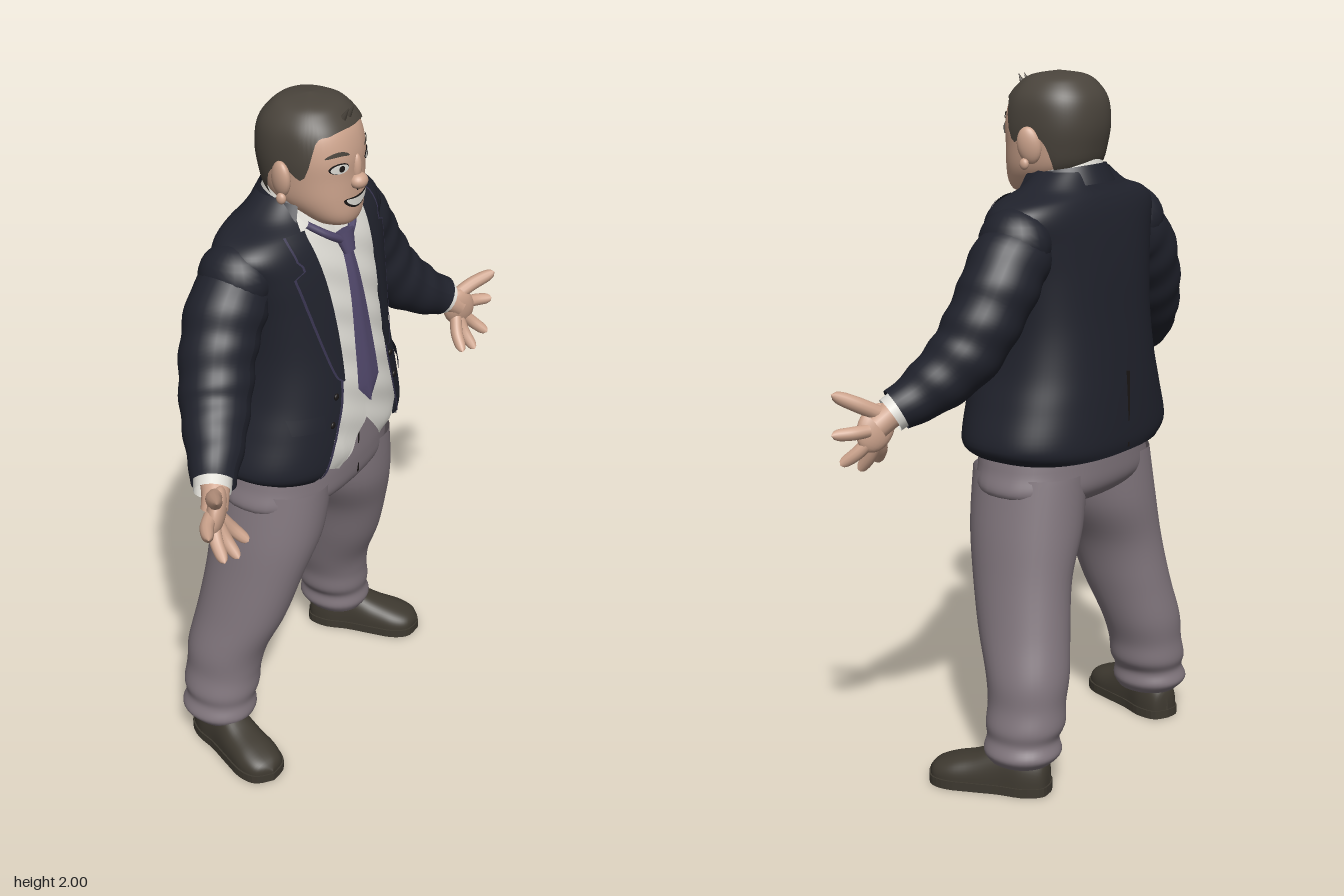
import * as THREE from 'three';
import { mergeVertices } from 'three/addons/utils/BufferGeometryUtils.js';

const mat = (name, color) => Object.assign(new THREE.MeshStandardMaterial({ color, side: THREE.DoubleSide }), { name });

// Surface from a rule f(u, v) -> [x, y, z], with smooth normals
function grid(f, nu, nv) {
  const pos = [], idx = [], w = nu + 1;
  for (let j = 0; j <= nv; j++) for (let i = 0; i <= nu; i++) pos.push(...f(i / nu, j / nv));
  for (let j = 0; j < nv; j++) for (let i = 0; i < nu; i++) {
    const a = j * w + i;
    idx.push(a, a + 1, a + w + 1, a, a + w + 1, a + w);
  }
  let g = new THREE.BufferGeometry();
  g.setAttribute('position', new THREE.Float32BufferAttribute(pos, 3));
  g.setIndex(idx);
  g = mergeVertices(g, 1e-5);
  g.computeVertexNormals();
  return g;
}

// Smooth interpolation between the rows of a profile table
function at(rows, v) {
  const f = Math.min(Math.max(v, 0), 1) * (rows.length - 1), i = Math.min(Math.floor(f), rows.length - 2), k = f - i;
  const p = rows[i - 1] || rows[i], q = rows[i + 2] || rows[i + 1];
  return rows[i].map((b, c) => {
    const d = rows[i + 1][c], m = (d - p[c]) / 2, n = (q[c] - b) / 2;
    return b + k * m + k * k * (3 * (d - b) - 2 * m - n) + k * k * k * (2 * (b - d) + m + n);
  });
}
function atY(rows, y) {
  let lo = 0, hi = 1;
  for (let i = 0; i < 24; i++) { const m = (lo + hi) / 2; if (at(rows, m)[0] < y) lo = m; else hi = m; }
  return at(rows, lo);
}

// Rows are [y, centre x, half width, front z, back z]; t = 0 is the front
const pw = (a, e) => Math.sign(a) * Math.abs(a) ** e;
function ring([y, cx, rx, zf, zb], t, e, s = 1, grow = 1) {
  return [cx * s + rx * grow * pw(Math.sin(t), e), y, (zf + zb) / 2 + (zf - zb) / 2 * grow * pw(Math.cos(t), e)];
}
const loft = (rows, e = 1, s = 1, nu = 40, nv = 40) => grid((u, v) => ring(at(rows, v), u * Math.PI * 2, e, s), nu, nv);
function frontZ(rows, x, y, e) {
  const [, , rx, zf, zb] = atY(rows, y), k = Math.min(Math.abs(x) / rx, 1);
  return (zf + zb) / 2 + (zf - zb) / 2 * (1 - k ** (2 / e)) ** (e / 2);
}

// Limb along [x, y, z, radius] points, with optional folds and rounded end
function limb(pts, s, { sides = 20, segs = 30, fold = 0, round = false } = {}) {
  const curve = new THREE.CatmullRomCurve3(pts.map(p => new THREE.Vector3(p[0] * s, p[1], p[2])));
  const g = new THREE.TubeGeometry(curve, segs, 1, sides), P = g.attributes.position, v = new THREE.Vector3();
  for (let i = 0; i < P.count; i++) {
    const j = Math.floor(i / (sides + 1)), u = j / segs, c = curve.getPointAt(u);
    let r = at(pts, u)[3] * (1 + fold * Math.sin(u * 38 + (i % (sides + 1)) * Math.PI * 2 / sides));
    if (round && u > 0.75) r *= Math.sqrt(Math.max(0, 1 - ((u - 0.75) / 0.25) ** 2));
    v.fromBufferAttribute(P, i).sub(c).multiplyScalar(r).add(c);
    P.setXYZ(i, v.x, v.y, v.z);
  }
  if (fold) g.computeVertexNormals();
  return g;
}

const HEAD = [[1.655, 0, 0.03, 0.125, 0.04], [1.668, 0, 0.065, 0.142, 0], [1.695, 0, 0.092, 0.15, -0.04],
  [1.74, 0, 0.117, 0.15, -0.105], [1.80, 0, 0.127, 0.148, -0.126], [1.86, 0, 0.131, 0.148, -0.134],
  [1.92, 0, 0.124, 0.132, -0.126], [1.96, 0, 0.1, 0.102, -0.1], [1.982, 0, 0.066, 0.068, -0.068], [1.992, 0, 0, 0, 0]];
const COAT = [[0.948, 0, 0.31, 0.192, -0.24], [0.99, 0, 0.35, 0.2, -0.246], [1.1, 0, 0.318, 0.2, -0.242],
  [1.2, 0, 0.288, 0.193, -0.235], [1.32, 0, 0.272, 0.175, -0.225], [1.45, 0, 0.278, 0.153, -0.214],
  [1.55, 0, 0.3, 0.128, -0.2], [1.62, 0, 0.32, 0.1, -0.185], [1.66, 0, 0.285, 0.075, -0.17],
  [1.69, 0, 0.19, 0.05, -0.152], [1.735, 0, 0.12, 0.03, -0.13]];
const OPENING = [0.215, 0.19, 0.15, 0.122, 0.115, 0.122, 0.132, 0.14, 0.14, 0.12, 0.1];
const HIPS = [[0.785, 0, 0.001, -0.02, -0.03], [0.795, 0, 0.14, 0.07, -0.13], [0.84, 0, 0.305, 0.15, -0.19],
  [0.92, 0, 0.3, 0.168, -0.2], [1.06, 0, 0.265, 0.16, -0.19]];
const LEG = [[0.09, 0.33, 0.085, -0.015, -0.2], [0.12, 0.33, 0.105, 0, -0.225], [0.16, 0.325, 0.096, -0.005, -0.215],
  [0.2, 0.315, 0.108, 0.002, -0.226], [0.26, 0.305, 0.104, 0.004, -0.222], [0.34, 0.29, 0.113, 0.02, -0.222],
  [0.46, 0.262, 0.115, 0.07, -0.205], [0.6, 0.232, 0.12, 0.11, -0.19], [0.74, 0.188, 0.143, 0.145, -0.19], [0.9, 0.16, 0.14, 0.155, -0.185]];
const SHOE = [[-0.168, 0.002, 0.05], [-0.155, 0.042, 0.1], [-0.1, 0.062, 0.132], [-0.03, 0.06, 0.135],
  [0.05, 0.066, 0.1], [0.12, 0.069, 0.08], [0.17, 0.05, 0.06], [0.192, 0.002, 0.035]];
const HAIRLINE = [6.3, 6.3, 6.15, 5.9, 4.2, 4.6, 4.2, 2.9, 2.6, 2.6, 2.6];
const ARM = [[0.21, 1.56, -0.05, 0.095], [0.3, 1.51, -0.055, 0.108], [0.375, 1.4, -0.045, 0.104],
  [0.445, 1.28, -0.01, 0.098], [0.53, 1.195, 0.045, 0.082], [0.606, 1.146, 0.092, 0.06]];
const FINGERS = [[0.742, 1.2, 0.2], [0.762, 1.095, 0.185], [0.715, 1.0, 0.2], [0.645, 0.97, 0.195], [0.585, 0.985, 0.185]];

export function createModel() {
  const skin = mat('skin', 0xcda48d), hair = mat('hair', 0x4a443c), navy = mat('jacket navy', 0x20222c),
    grey = mat('trouser grey', 0x81767d), leather = mat('shoe leather', 0x3e3930), white = mat('shirt white', 0xdedcd5),
    purple = mat('tie purple', 0x51486b), trim = mat('lapel trim', 0x38344f), dark = mat('dark detail', 0x1b1716);
  const body = new THREE.Group();
  body.name = 'figure';
  const add = (name, geo, m, x = 0, y = 0, z = 0, scale = [1, 1, 1]) => {
    const mesh = new THREE.Mesh(geo, m);
    mesh.name = name;
    mesh.position.set(x, y, z);
    mesh.scale.set(...scale);
    body.add(mesh);
    return mesh;
  };
  const ball = new THREE.SphereGeometry(1, 24, 16);

  // Head and hair
  add('head', loft(HEAD, 0.88, 1, 48, 48), skin);
  add('hair', grid((u, v) => {
    const t = u * Math.PI * 2, k = Math.min(t, Math.PI * 2 - t) / Math.PI;
    const v0 = at(HAIRLINE.map(h => [h / 9]), k)[0];
    const p = ring(at(HEAD, v0 + (1 - v0) * v), t, 0.88, 1, 1.06);
    return [p[0], p[1] + 0.008 * v, p[2]];
  }, 72, 28), hair);
  for (const x of [-0.012, 0.014]) add('hairTuft', new THREE.ConeGeometry(0.012, 0.05, 8), hair, x, 1.965, 0.117).rotation.x = 0.5;
  add('neck', new THREE.CylinderGeometry(0.085, 0.095, 0.18, 28), skin, 0, 1.66, -0.012);
  add('nose', ball, skin, 0, 1.785, 0.153, [0.028, 0.022, 0.025]);
  add('noseBridge', ball, skin, 0, 1.82, 0.146, [0.015, 0.04, 0.014]);

  // Painted patches lying on the face
  const decal = (name, cx, cy, rx, ry, m, lift, bend = 0) => add(name, grid((u, v) => {
    const a = u * Math.PI * 2, dx = rx * (1 - v) * Math.cos(a);
    const x = cx + dx, y = cy + ry * (1 - v) * Math.sin(a) + bend * (dx / rx) ** 2;
    return [x, y, frontZ(HEAD, x, y, 0.88) + lift];
  }, 24, 5), m);
  decal('mouth', 0, 1.728, 0.055, 0.016, dark, 0.003, 0.014);
  decal('teeth', 0, 1.729, 0.049, 0.011, white, 0.005, 0.014);
  for (const s of [1, -1]) {
    decal('eyeRim', s * 0.066, 1.838, 0.027, 0.015, dark, 0.002);
    decal('eyeWhite', s * 0.066, 1.837, 0.024, 0.013, white, 0.004);
    decal('iris', s * 0.064, 1.838, 0.008, 0.009, dark, 0.006);
    decal('eyebrow', s * 0.068, 1.878, 0.032, 0.006, hair, 0.004, -0.008);
    decal('nostril', s * 0.014, 1.768, 0.006, 0.003, dark, 0.012);
    add('ear', ball, skin, s * 0.138, 1.805, 0.0, [0.02, 0.052, 0.034]).rotation.set(0.15, s * 0.35, -s * 0.15);
    add('earHollow', ball, skin, s * 0.15, 1.755, 0.008, [0.011, 0.016, 0.014]);
  }

  // Shirt front with a split, pointed hem, and its collar
  const openAt = v => at(OPENING.map(o => [o]), v)[0];
  const openY = y => { let v = 0; while (v < 1 && at(COAT, v)[0] < y) v += 0.005; return openAt(v); };
  const hem = x => Math.abs(x) < 0.11 ? 1.065 - 1.12 * Math.abs(x) : 0.942 + 0.5 * (Math.abs(x) - 0.11);
  add('shirtFront', grid((u, v) => {
    const y0 = 0.95 + 0.74 * v, x = (u * 2 - 1) * (openY(y0) + 0.03), y = hem(x) + (1.69 - hem(x)) * v;
    return [x, y, frontZ(COAT, x, y, 0.8) - 0.012 + 0.003 * Math.sin(x * 30 + y * 55)];
  }, 48, 50), white);
  add('shirtCollar', grid((u, v) => {
    const t = 0.3 + u * (Math.PI * 2 - 0.6), c = Math.cos(t), flare = 1.12 - 0.17 * v;
    return [0.108 * flare * Math.sin(t), 1.678 - 0.042 * c + 0.058 * v - 0.03 * (1 - v) * Math.max(0, c) ** 3, -0.012 + 0.113 * flare * c];
  }, 48, 4), white);

  // Tie
  const TIE = [[1.125, 0.002], [1.185, 0.054], [1.3, 0.045], [1.45, 0.032], [1.585, 0.022]];
  add('tieBlade', grid((u, v) => {
    const f = v * 4, i = Math.min(Math.floor(f), 3), k = f - i;
    const y = TIE[i][0] + k * (TIE[i + 1][0] - TIE[i][0]), x = (u * 2 - 1) * (TIE[i][1] + k * (TIE[i + 1][1] - TIE[i][1]));
    return [x, y, frontZ(COAT, x, y, 0.8) + 0.008 - 0.006 * Math.abs(u * 2 - 1)];
  }, 8, 32), purple);
  const knot = add('tieKnot', new THREE.CylinderGeometry(0.038, 0.022, 0.06, 16), purple, 0, 1.598, 0.118, [1, 1, 0.6]);
  knot.rotation.x = -0.35;

  // Jacket body, open at the front
  add('jacketBody', grid((u, v) => {
    const r = at(COAT, v), t0 = Math.asin(Math.min(1, (openAt(v) / r[2]) ** (1 / 0.8)));
    return ring(r, t0 + u * (Math.PI * 2 - 2 * t0), 0.8);
  }, 72, 60), navy);
  add('jacketCollar', grid((u, v) => {
    const t = 1.1 + u * (Math.PI * 2 - 2.2), c = Math.cos(t);
    return [(0.15 - 0.03 * v) * Math.sin(t), 1.682 - 0.02 * c + 0.05 * v, -0.02 + (0.14 - 0.025 * v) * c];
  }, 40, 4), navy);
  add('backVent', new THREE.BoxGeometry(0.006, 0.22, 0.008), dark, 0, 1.07, -0.241);

  // Thin plate lying on the jacket front between two edges
  const plate = (name, s, y0, y1, inner, outer, m, lift) => add(name, grid((u, v) => {
    const y = y0 + (y1 - y0) * v, x = inner(y) + u * (outer(y) - inner(y));
    return [s * x, y, frontZ(COAT, x, y, 0.8) + lift];
  }, 8, 30), m);
  const lapel = y => openY(y) + (y < 1.57 ? 0.085 * Math.sqrt((y - 1.24) / 0.33) : y < 1.6 ? 0.05 : 0.06);

  for (const s of [1, -1]) {
    add('tieBand', limb([[0.02, 1.61, 0.115, 0.012], [0.06, 1.635, 0.1, 0.011], [0.1, 1.67, 0.055, 0.01]], s, { sides: 8, segs: 8 }), purple);
    plate('lapel', s, 1.24, 1.67, y => openY(y) - 0.004, lapel, navy, 0.01);
    plate('lapelTrim', s, 1.24, 1.67, lapel, y => lapel(y) + 0.007, trim, 0.011);
    plate('frontEdgeTrim', s, 0.96, 1.24, y => openY(y) - 0.004, y => openY(y) + 0.005, trim, 0.003);
    plate('pocketFlap', s, 1.12, 1.165, () => 0.195, () => 0.275, navy, 0.01);
    for (const y of [1.12, 1.2]) add('button', ball, dark, s * (openY(y) + 0.022), y, frontZ(COAT, openY(y) + 0.022, y, 0.8) + 0.003, [0.01, 0.01, 0.005]);

    // Arm and hand
    add('sleeve', limb(ARM, s, { sides: 28, segs: 60, fold: 0.025 }), navy);
    add('shoulder', ball, navy, s * 0.275, 1.562, -0.055, [0.092, 0.096, 0.105]);
    add('shirtCuff', limb([[0.59, 1.157, 0.08, 0.052], [0.622, 1.134, 0.1, 0.05]], s, { segs: 2 }), white);
    add('wrist', limb([[0.59, 1.155, 0.085, 0.04], [0.62, 1.13, 0.108, 0.037], [0.65, 1.105, 0.125, 0.036]], s, { segs: 8 }), skin);
    add('palm', ball, skin, s * 0.648, 1.1, 0.13, [0.052, 0.068, 0.026]).rotation.set(0.15, -s * 0.45, s * 0.55);
    FINGERS.forEach(([x, y, z], i) => {
      const b = i ? [0.648 + (x - 0.648) * 0.25, 1.1 + (y - 1.1) * 0.25, 0.13] : [0.635, 1.135, 0.118];
      const r = i ? 0.0185 : 0.021;
      add(i ? 'finger' : 'thumb', limb([[...b, r], [(b[0] + x) / 2, (b[1] + y) / 2, (b[2] + z) / 2 - 0.008, r], [x, y, z, r * 0.85]],
        s, { sides: 12, segs: 16, round: true }), skin);
    });

    // Leg and shoe
    add('trouserLeg', loft(LEG, 0.95, s, 36, 54), grey);
    const shoe = new THREE.Group();
    shoe.name = 'shoe';
    shoe.position.set(s * 0.365, 0, -0.035);
    shoe.rotation.y = s * 0.34;
    const upper = new THREE.Mesh(grid((u, v) => {
      const [z, w, h] = at(SHOE, v), a = u * Math.PI;
      return [w * pw(Math.cos(a), 0.8), 0.022 + (h - 0.022) * pw(Math.sin(a), 0.8), z];
    }, 24, 36), leather);
    upper.name = 'shoeUpper';
    const edge = [];
    for (let i = 0; i <= 24; i++) { const [z, w] = at(SHOE, i / 24); edge.push(new THREE.Vector2(w * 1.07, -z * 1.02)); }
    const outline = [...edge, ...edge.slice().reverse().map(p => new THREE.Vector2(-p.x, p.y))];
    const sole = new THREE.Mesh(new THREE.ExtrudeGeometry(new THREE.Shape(outline), { depth: 0.026, bevelEnabled: false }).rotateX(-Math.PI / 2), leather);
    sole.name = 'shoeSole';
    shoe.add(upper, sole);
    body.add(shoe);
  }

  // Breast pocket with handkerchief, and the hips of the trousers
  plate('breastPocket', 1, 1.45, 1.475, () => 0.185, () => 0.25, navy, 0.008);
  plate('handkerchief', 1, 1.475, 1.5, () => 0.192, () => 0.246, white, 0.008);
  add('trouserHips', loft(HIPS, 0.85), grey);
  add('trouserFly', new THREE.BoxGeometry(0.005, 0.14, 0.008), dark, 0, 0.94, 0.163);

  // The figure faces +x with a slight twist
  body.rotation.y = Math.PI / 2 + 0.05;
  const model = new THREE.Group();
  model.name = 'standingMan';
  model.add(body);
  return model;
}
